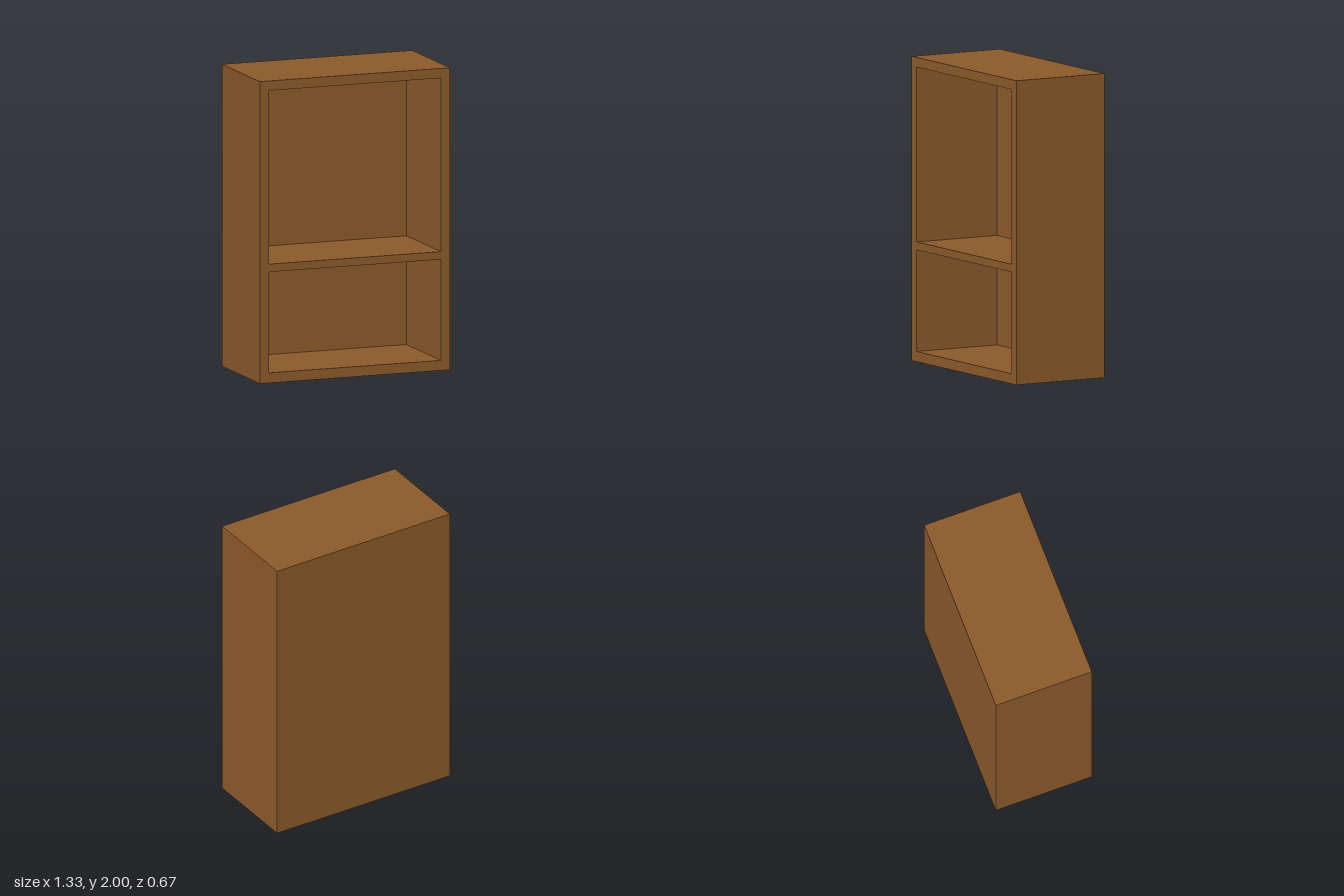
import * as THREE from 'three';

const W = 1.333, H = 2, D = 0.667; // overall size
const BACK = 0.06;                 // back panel thickness
const INNER = 0.602;               // half width of the compartments

// rectangular outline from x0,y0 to x1,y1
function rect(Type, x0, y0, x1, y1) {
  const r = new Type();
  r.moveTo(x0, y0);
  r.lineTo(x1, y0);
  r.lineTo(x1, y1);
  r.lineTo(x0, y1);
  r.closePath();
  return r;
}

export function createModel() {
  const group = new THREE.Group();
  group.name = 'bookcase';
  const wood = new THREE.MeshStandardMaterial({ color: 0x8b5a2b });
  wood.name = 'brown wood';

  // frame with sides, top, bottom and middle shelf, open at two compartments
  const outline = rect(THREE.Shape, -W / 2, 0, W / 2, H);
  for (const [y0, y1] of [[0.067, 0.735], [0.787, 1.936]]) {
    outline.holes.push(rect(THREE.Path, -INNER, y0, INNER, y1));
  }
  const frame = new THREE.Mesh(
    new THREE.ExtrudeGeometry(outline, { depth: D - BACK, bevelEnabled: false }), wood);
  frame.name = 'frameWithShelf';
  frame.position.z = -D / 2 + BACK;
  group.add(frame);

  // closed back
  const back = new THREE.Mesh(new THREE.BoxGeometry(W, H, BACK), wood);
  back.name = 'backPanel';
  back.position.set(0, H / 2, -D / 2 + BACK / 2);
  group.add(back);

  return group;
}
